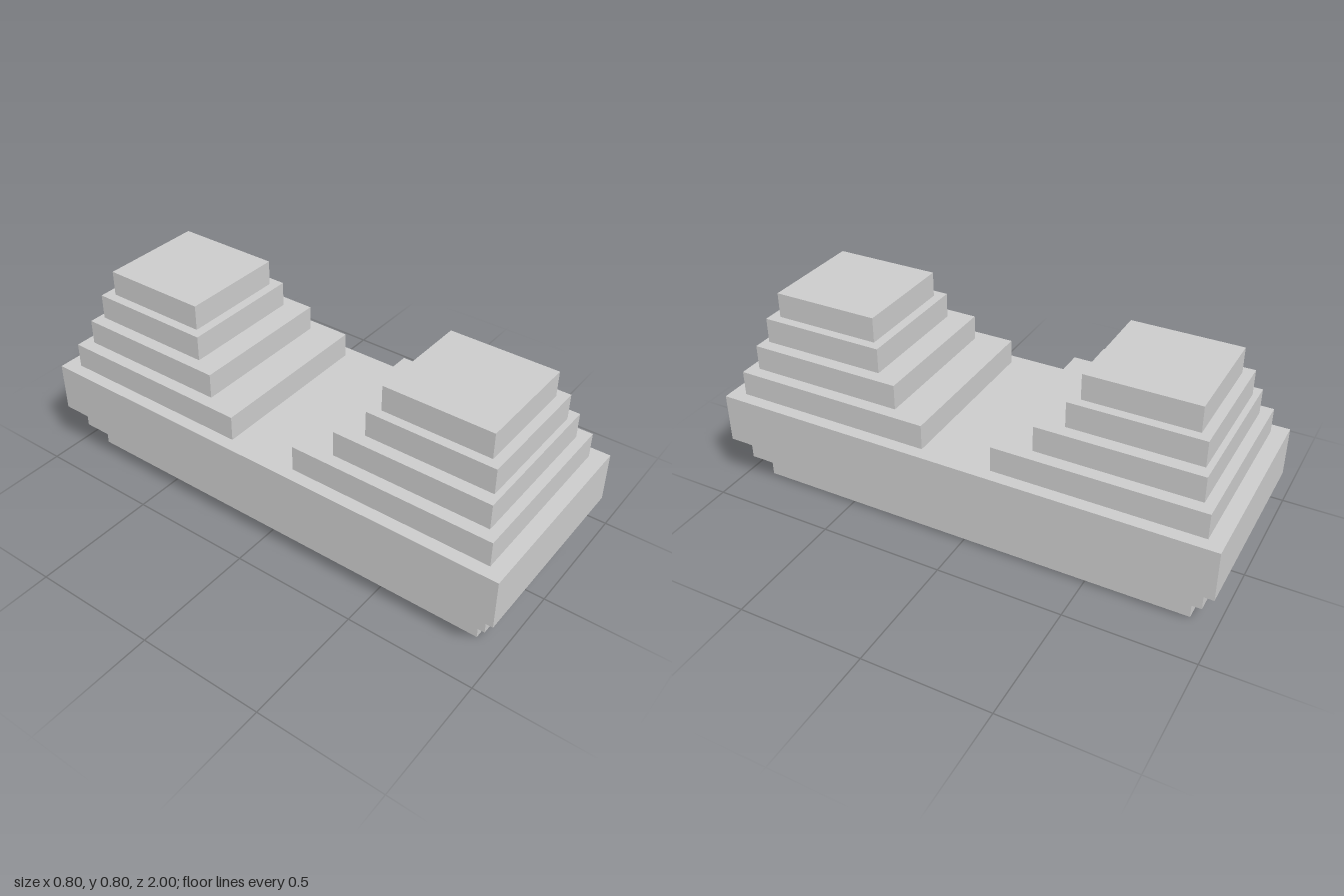
import * as THREE from 'three';

const material = new THREE.MeshStandardMaterial({ color: 0xcccccc, flatShading: true });

// Box given by half width, bottom, top, and its z range
function slab(name, halfX, y0, y1, z0, z1) {
  const mesh = new THREE.Mesh(new THREE.BoxGeometry(halfX * 2, y1 - y0, z1 - z0), material);
  mesh.position.set(0, (y0 + y1) / 2, (z0 + z1) / 2);
  mesh.name = name;
  return mesh;
}

export function createModel() {
  const model = new THREE.Group();
  model.name = 'steppedBlock';

  // Base widening upwards: half width, bottom, top, half length
  const base = new THREE.Group();
  base.name = 'base';
  [
    ['foot', 0.3, 0, 0.1, 0.9],
    ['lowerStep', 0.35, 0.1, 0.2, 0.95],
    ['mainDeck', 0.4, 0.2, 0.4, 1],
  ].forEach(([name, hx, y0, y1, hz]) => base.add(slab(name, hx, y0, y1, -hz, hz)));
  model.add(base);

  // Stepped towers, mirrored front and back: half width, inner z, outer z
  const tiers = [
    [0.35, 0.14, 0.94],
    [0.3, 0.28, 0.9],
    [0.25, 0.377, 0.877],
    [0.2125, 0.414, 0.839],
  ];
  for (const side of [1, -1]) {
    const tower = new THREE.Group();
    tower.name = side > 0 ? 'frontTower' : 'backTower';
    tiers.forEach(([hx, inner, outer], i) => {
      const [z0, z1] = side > 0 ? [inner, outer] : [-outer, -inner];
      tower.add(slab(`tier${i + 1}`, hx, 0.4 + i * 0.1, 0.5 + i * 0.1, z0, z1));
    });
    model.add(tower);
  }
  return model;
}
